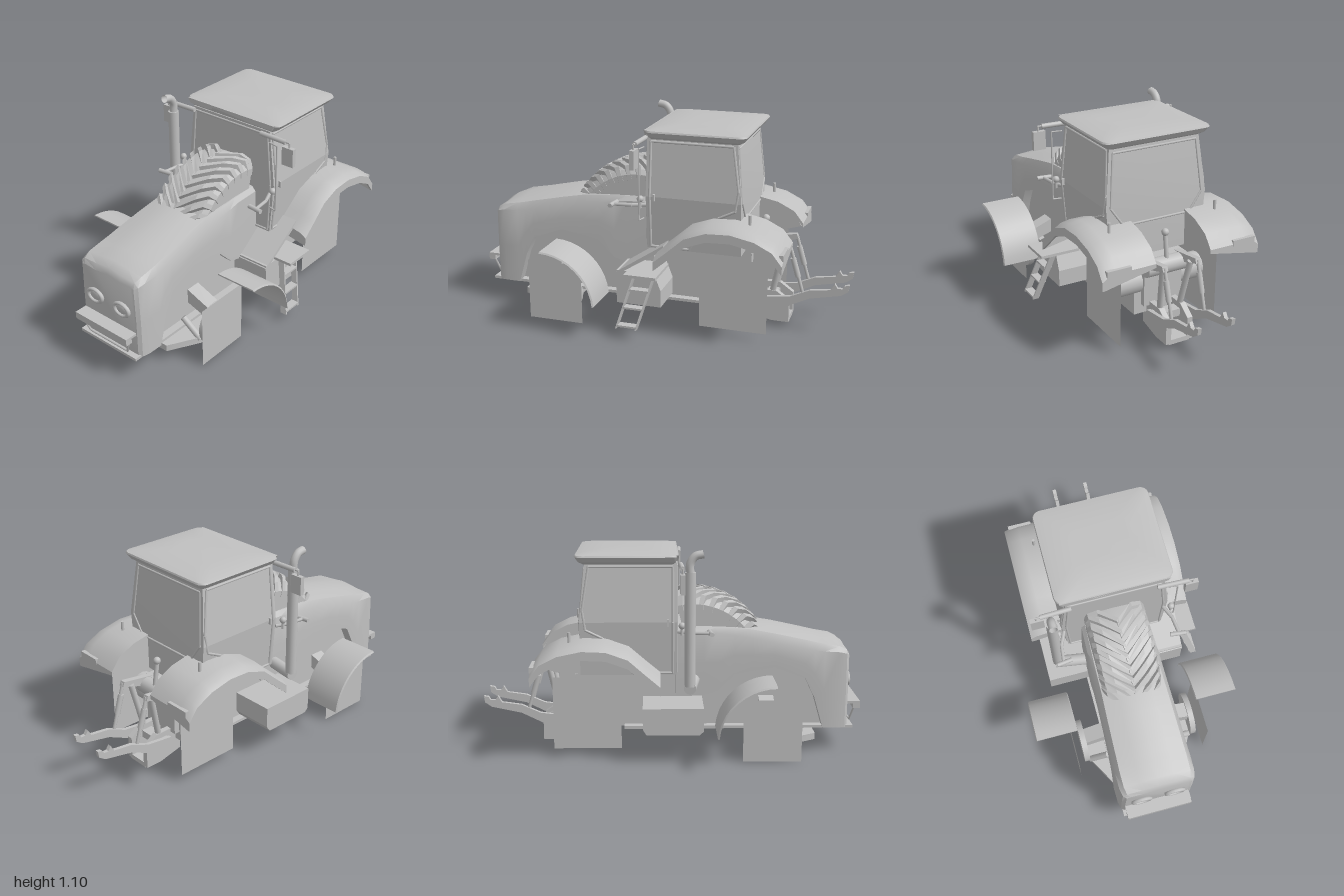
import * as THREE from 'three';
import { toCreasedNormals } from 'three/addons/utils/BufferGeometryUtils.js';

export function createModel() {
  const root = new THREE.Group();
  root.name = 'tractor';
  const grey = new THREE.MeshStandardMaterial({ color: 0xc0c0c0, side: THREE.DoubleSide });
  grey.name = 'body grey';
  const V = (p) => new THREE.Vector3(...p);

  const add = (name, geo) => {
    const m = new THREE.Mesh(geo, grey);
    m.name = name;
    root.add(m);
    return m;
  };
  // Box given by its limits on each axis
  const box = (name, [x0, x1], [y0, y1], [z0, z1]) =>
    add(name, new THREE.BoxGeometry(Math.abs(x1 - x0), y1 - y0, z1 - z0)
      .translate((x0 + x1) / 2, (y0 + y1) / 2, (z0 + z1) / 2));
  // Straight rod between two points
  const rod = (name, a, b, r, sides = 10) => {
    const d = V(b).sub(V(a));
    const m = add(name, new THREE.CylinderGeometry(r, r, d.length(), sides));
    m.position.copy(V(a)).addScaledVector(d, 0.5);
    m.quaternion.setFromUnitVectors(new THREE.Vector3(0, 1, 0), d.normalize());
    return m;
  };
  const rods = (name, pts, r) => pts.slice(1).forEach((p, i) => rod(name, pts[i], p, r, 6));
  // Side profile of [z, y] points, extruded between two x values
  const prism = (name, pts, x0, x1) => {
    const g = new THREE.ExtrudeGeometry(new THREE.Shape(pts.map((p) => new THREE.Vector2(...p))),
      { depth: x1 - x0, bevelEnabled: false });
    return add(name, g.rotateY(-Math.PI / 2).translate(x1, 0, 0));
  };
  // Skin over matching closed cross-sections, with flat ends
  const loft = (name, secs, crease = 0.6) => {
    const n = secs[0].length, pos = secs.flat(2), idx = [];
    for (let i = 0; i < secs.length - 1; i++)
      for (let j = 0; j < n; j++) {
        const a = i * n + j, b = i * n + (j + 1) % n;
        idx.push(a, b, b + n, a, b + n, a + n);
      }
    const last = (secs.length - 1) * n;
    for (let j = 1; j < n - 1; j++) idx.push(0, j + 1, j, last, last + j, last + j + 1);
    const g = new THREE.BufferGeometry();
    g.setAttribute('position', new THREE.Float32BufferAttribute(pos, 3));
    g.setIndex(idx);
    return add(name, toCreasedNormals(g, crease));
  };
  // Horizontal rectangle section, with optional rounded corners
  const rect = (cx, w, z0, z1, y, r = 0) => {
    const pts = [];
    [[1, 1], [-1, 1], [-1, -1], [1, -1]].forEach(([sx, sz], q) => {
      for (let i = 0; i <= (r ? 4 : 0); i++) {
        const a = (q + i / 4) * Math.PI / 2;
        pts.push([cx + sx * (w - r) + r * Math.cos(a), y, (sz > 0 ? z1 - r : z0 + r) + r * Math.sin(a)]);
      }
    });
    return pts;
  };

  // Hood: each row is z, half width, bottom edge, shoulder height, crown height
  const hood = [
    [0.932, 0.178, 0.13, 0.52, 0.533], [0.918, 0.195, 0.13, 0.53, 0.562], [0.88, 0.204, 0.13, 0.54, 0.585],
    [0.80, 0.205, 0.13, 0.545, 0.605], [0.75, 0.203, 0.30, 0.55, 0.618], [0.70, 0.202, 0.40, 0.56, 0.63],
    [0.54, 0.197, 0.46, 0.59, 0.665], [0.42, 0.192, 0.44, 0.615, 0.685], [0.33, 0.19, 0.42, 0.63, 0.69],
    [0.24, 0.188, 0.33, 0.64, 0.69], [0.17, 0.185, 0.31, 0.65, 0.69], [0.02, 0.18, 0.31, 0.65, 0.69],
  ].map(([z, w, yb, ys, yc]) => {
    const half = [[w, yb], [w, (yb + ys) / 2], [w * 0.97, ys], [w * 0.86, ys + (yc - ys) * 0.6], [w * 0.45, yc - 0.01]];
    return [...half.map(([x, y]) => [x, y, z]), [0, yc, z], ...half.reverse().map(([x, y]) => [-x, y, z])];
  });
  loft('hood', hood);

  // Chassis and front
  box('chassis', [-0.15, 0.15], [0.13, 0.42], [-0.5, 0.82]);
  box('archLining', [-0.15, 0.15], [0.4, 0.5], [0.05, 0.72]);
  box('chassisFloor', [-0.19, 0.19], [0.125, 0.14], [-0.25, 0.92]);
  box('bumper', [-0.178, 0.172], [0.23, 0.268], [0.963, 1.0]);
  box('bumperLip', [-0.178, 0.172], [0.255, 0.268], [0.925, 0.965]);
  box('frontSill', [-0.19, 0.19], [0.125, 0.14], [0.9, 0.963]);
  rods('bumperFrame', [[-0.16, 0.24, 0.975], [-0.13, 0.155, 0.955], [0.13, 0.155, 0.955], [0.16, 0.24, 0.975]], 0.006);
  for (const s of [1, -1]) {
    const ring = add('headlampRim', new THREE.TorusGeometry(0.047, 0.011, 8, 16));
    ring.position.set(s * 0.09, 0.375, 0.94);
    ring.scale.y = 0.72;
    const lens = add('headlamp', new THREE.SphereGeometry(0.045, 20, 10));
    lens.position.set(s * 0.09, 0.375, 0.932);
    lens.scale.set(1, 0.7, 0.3);
  }

  // Front axle, hubs, fenders and flat side plates
  loft('frontAxle', [0.065, 0.1].map((y) =>
    [[-0.2, y, 0.76], [0.2, y, 0.76], [0.29, y, 0.6], [0.29, y, 0.46], [-0.29, y, 0.46], [-0.29, y, 0.6]]));
  const plate = (name, x, [z0, z1], [y0, y1]) =>
    add(name, new THREE.PlaneGeometry(z1 - z0, y1 - y0).rotateY(Math.sign(x) * Math.PI / 2)
      .translate(x, (y0 + y1) / 2, (z0 + z1) / 2));
  plate('rearSidePlate', 0.293, [-0.615, -0.262], [0.045, 0.43]);
  plate('rearSidePlate', -0.262, [-0.615, -0.262], [0.045, 0.43]);
  for (const s of [1, -1]) {
    plate('frontSidePlate', s * 0.358, [0.365, 0.667], [0, 0.33]);
    add('frontHub', new THREE.CylinderGeometry(0.117, 0.117, 0.03, 24).rotateZ(Math.PI / 2)
      .translate(s * 0.305, 0.145, 0.5));
    rod('axleStrut', [s * 0.285, 0.09, 0.6], [s * 0.19, 0.19, 0.62], 0.017);
    loft('hubArm', [[0.14, 0.3, 0.22], [0.295, 0.24, 0.17]].map(([x, y1, y0]) =>
      [[s * x, y0, 0.46], [s * x, y1, 0.46], [s * x, y1, 0.54], [s * x, y0, 0.54]]));
    const arc = [];
    for (let i = 0; i <= 10; i++) {
      const a = Math.PI / 2 + (i / 10) * 1.49;
      const at = (x, r) => [s * x, 0.165 + r * Math.sin(a), 0.51 + r * Math.cos(a)];
      arc.push([at(0.325, 0.282), at(0.33, 0.29), at(0.545, 0.29), at(0.55, 0.282)]);
    }
    loft('frontFender', arc);
  }

  // Ribbed tyre section rising behind the hood
  const tyre = (x, r, a) => [x, 0.43 + r * Math.sin(a), 0.11 + r * Math.cos(a)];
  const tread = [];
  for (let i = 0; i <= 14; i++) {
    const a = 0.42 + i * 0.098;
    tread.push([[-0.155, 0.24], [-0.155, 0.36], [-0.135, 0.385], [-0.08, 0.4], [0, 0.405],
      [0.08, 0.4], [0.135, 0.385], [0.155, 0.36], [0.155, 0.24]].map(([x, r]) => tyre(x, r, a)));
  }
  loft('tyre', tread);
  for (const s of [1, -1])
    for (let i = 0; i < 9; i++) {
      const a0 = 0.3 + i * 0.15 + (s > 0 ? 0 : 0.03);
      loft('treadLug', [[-0.005, 0.43, 0], [0.09, 0.424, 0.2], [0.14, 0.408, 0.31], [0.158, 0.36, 0.33]]
        .map(([x, r, da]) => {
          const a = Math.min(a0 + da, 1.72);
          return [tyre(s * x, r - 0.035, a), tyre(s * x, r, a + 0.01), tyre(s * x, r, a + 0.075), tyre(s * x, r - 0.035, a + 0.085)];
        }), 0.2);
    }

  // Cab with frame lines
  const cx = 0.008;
  loft('cab', [rect(cx, 0.262, -0.47, 0.025, 0.44), rect(cx, 0.285, -0.47, 0.025, 0.72),
    rect(cx, 0.252, -0.44, 0.025, 1.02)], 0.1);
  const sideX = (y) => (y < 0.72 ? 0.262 + (y - 0.44) * 0.082 : 0.285 - (y - 0.72) * 0.11);
  for (const s of [1, -1]) {
    const door = [[0.005, 0.45], [0.005, 0.72], [0.005, 1.0], [-0.42, 1.0], [-0.455, 0.78], [-0.44, 0.68],
      [-0.36, 0.64], [-0.27, 0.58], [-0.2, 0.45], [0.005, 0.45]];
    rods('doorFrame', door.map(([z, y]) => [cx + s * sideX(y), y, z]), 0.007);
    rods('windscreenFrame', [[0, 0.45], [s * 0.25, 0.45], [s * 0.262, 0.72], [s * 0.238, 1.0], [0, 1.0]]
      .map(([x, y]) => [cx + x, y, 0.026]), 0.006);
    rods('rearWindowFrame', [[0, 0.62, -0.472], [s * 0.19, 0.62, -0.472], [s * 0.26, 0.72, -0.47],
      [s * 0.235, 0.99, -0.443], [0, 0.99, -0.443]].map(([x, y, z]) => [cx + x, y, z]), 0.006);
    box('doorHandle', [cx + s * 0.283, cx + s * 0.298], [0.7, 0.735], [-0.025, -0.015]);
  }
  // Domed roof with rounded corners and a thin overhanging lip
  loft('roof', [rect(cx, 0.255, -0.45, 0.015, 1.012, 0.02), rect(cx, 0.28, -0.472, 0.022, 1.025, 0.03),
    rect(cx, 0.302, -0.49, 0.03, 1.052, 0.04), rect(cx, 0.298, -0.487, 0.028, 1.06, 0.04),
    rect(cx, 0.26, -0.45, -0.01, 1.068, 0.05), rect(cx, 0.16, -0.35, -0.1, 1.075, 0.06)], 0.4);
  loft('roofVisor', [[0.022, 0], [0.034, 0.004]].map(([z, d]) =>
    [[-0.275, 1.06, z], [-0.26, 1.03 + d, z], [-0.13, 1.03 + d, z], [-0.09, 1.05, z], [0.11, 1.05, z],
      [0.15, 1.03 + d, z], [0.275, 1.03 + d, z], [0.29, 1.06, z]]));

  // Rear fenders: z, y along the arc
  for (const s of [1, -1]) {
    const path = [[-0.06, 0.455], [-0.13, 0.515], [-0.22, 0.595], [-0.33, 0.635],
      [-0.45, 0.64], [-0.57, 0.615], [-0.66, 0.57], [-0.71, 0.505]];
    const w = 0.445;
    loft('rearFender', path.map(([z, y]) => [[0.155, y - 0.02], [0.155, y], [w - 0.08, y], [w - 0.03, y - 0.01],
      [w, y - 0.03], [w, y - 0.075], [w - 0.012, y - 0.075], [w - 0.012, y - 0.035], [w - 0.04, y - 0.022]]
      .map(([x, yy]) => [s * x, yy, z])));
    prism('fenderInnerWall', [[-0.02, 0.43], [-0.22, 0.585], [-0.33, 0.625], [-0.45, 0.63], [-0.57, 0.605],
      [-0.66, 0.56], [-0.7, 0.49], [-0.47, 0.42]], s * 0.165 - 0.006, s * 0.165 + 0.006);
    box('rearLamp', [s * 0.29, s * 0.42], [0.495, 0.525], [-0.712, -0.69]);
    rod('fenderMarker', [s * 0.305, 0.62, -0.52], [s * 0.305, 0.675, -0.52], 0.008, 8);
    // Mirrors and lamps
    rod('mirrorBar', [s * 0.22, 1.008, 0.045], [s * 0.38, 1.008, 0.05], 0.013);
    rods('mirrorStem', [[s * 0.37, 1.01, 0.05], [s * 0.4, 1.01, 0.05], [s * 0.4, 0.96, 0.05]], 0.005);
    box('mirror', [s * 0.363, s * 0.43], [0.888, 0.985], [0.038, 0.062]);
    rods('lampBracket', [[s * 0.27, 0.67, 0.03], [s * 0.3, 0.67, 0.1], [s * 0.31, 0.67, 0.19]], 0.01);
    rod('workLamp', [s * 0.265, 0.67, 0.19], [s * 0.345, 0.67, 0.2], 0.012);
    rod('lampPost', [s * 0.305, 0.66, 0.05], [s * 0.305, 0.7, 0.05], 0.008);
    add('indicator', new THREE.SphereGeometry(0.018, 10, 8).translate(s * 0.305, 0.708, 0.05));
  }
  rods('handrail', [[0.27, 0.97, 0.04], [0.325, 0.97, 0.05], [0.325, 0.6, 0.05], [0.28, 0.6, 0.04]], 0.004);

  // Exhaust stack
  const bend = new THREE.CatmullRomCurve3([[-0.332, 0.96, 0.09], [-0.332, 1.03, 0.09], [-0.332, 1.065, 0.115],
    [-0.332, 1.075, 0.155]].map(V));
  add('exhaustOutlet', new THREE.TubeGeometry(bend, 16, 0.021, 12));
  rod('exhaustStack', [-0.332, 0.4, 0.09], [-0.332, 0.985, 0.09], 0.028, 16);
  rod('exhaustElbow', [-0.345, 0.39, 0.09], [-0.15, 0.39, 0.12], 0.032, 14);

  // Side tank, step box and ladder
  loft('fuelTank', [-0.4, -0.17].map((x) => [[x, 0.16, -0.13], [x, 0.19, -0.15], [x, 0.3, -0.15],
    [x, 0.3, 0.16], [x, 0.18, 0.16], [x, 0.16, 0.14]]), 0.2);
  prism('stepBox', [[0.165, 0.15], [0.165, 0.33], [-0.04, 0.33], [-0.075, 0.24], [-0.075, 0.15]], 0.15, 0.36);
  box('platform', [0.24, 0.46], [0.335, 0.35], [-0.08, 0.09]);
  prism('stepSupport', [[0.17, 0.3], [0.17, 0.318], [-0.09, 0.49], [-0.09, 0.465]], 0.18, 0.36);
  const rail = (t, z) => [0.385 + 0.08 * t, 0.335 - 0.28 * t, z + 0.075 * t];
  for (const z of [0.055, -0.05])
    loft('ladderRail', [0, 1].map((t) => {
      const [x, y, zz] = rail(t, z);
      return [[x - 0.025, y, zz - 0.004], [x + 0.01, y, zz - 0.004], [x + 0.01, y, zz + 0.004], [x - 0.025, y, zz + 0.004]];
    }));
  for (const t of [0.3, 0.62, 0.95]) {
    const [x, y, z] = rail(t, 0);
    box('ladderRung', [x - 0.03, x + 0.012], [y - 0.005, y + 0.005], [z - 0.05, z + 0.055]);
  }

  // Rear axle, hitch base and linkage
  box('rearHousing', [-0.11, 0.11], [0.18, 0.44], [-0.53, -0.4]);
  rod('rearAxle', [-0.25, 0.3, -0.45], [0.25, 0.3, -0.45], 0.07, 16);
  rod('liftShaft', [-0.12, 0.4, -0.55], [0.12, 0.4, -0.55], 0.045, 16);
  for (const s of [1, -1])
    prism('hitchCheek', [[-0.47, 0.06], [-0.47, 0.2], [-0.62, 0.2], [-0.69, 0.15], [-0.69, 0.03], [-0.6, 0.03]],
      s * 0.062 - 0.015, s * 0.062 + 0.015);
  box('hitchFloor', [-0.06, 0.06], [0.025, 0.05], [-0.69, -0.58]);
  box('hitchCrossbar', [-0.1, 0.1], [0.13, 0.17], [-0.62, -0.56]);
  rod('topLink', [0, 0.43, -0.56], [0, 0.56, -0.54], 0.012);
  add('topLinkBall', new THREE.SphereGeometry(0.02, 10, 8).translate(0, 0.57, -0.54));
  for (const s of [1, -1]) {
    const x = s * 0.095;
    prism('lowerLink', [[-0.55, 0.11], [-0.66, 0.12], [-0.8, 0.19], [-0.96, 0.225], [-0.995, 0.25], [-1.0, 0.285],
      [-0.975, 0.28], [-0.965, 0.262], [-0.94, 0.262], [-0.925, 0.285], [-0.905, 0.25], [-0.8, 0.235],
      [-0.7, 0.19], [-0.55, 0.17]], x - 0.01, x + 0.01);
    prism('liftArm', [[-0.5, 0.38], [-0.5, 0.44], [-0.69, 0.47], [-0.7, 0.445]], x - 0.015, x + 0.015);
    rod('liftRod', [x, 0.46, -0.69], [x, 0.22, -0.76], 0.009);
    rod('liftRodSleeve', [x, 0.4, -0.705], [x, 0.3, -0.735], 0.015);
    rod('liftCylinder', [s * 0.06, 0.2, -0.6], [s * 0.08, 0.44, -0.65], 0.016);
  }
  return root;
}
